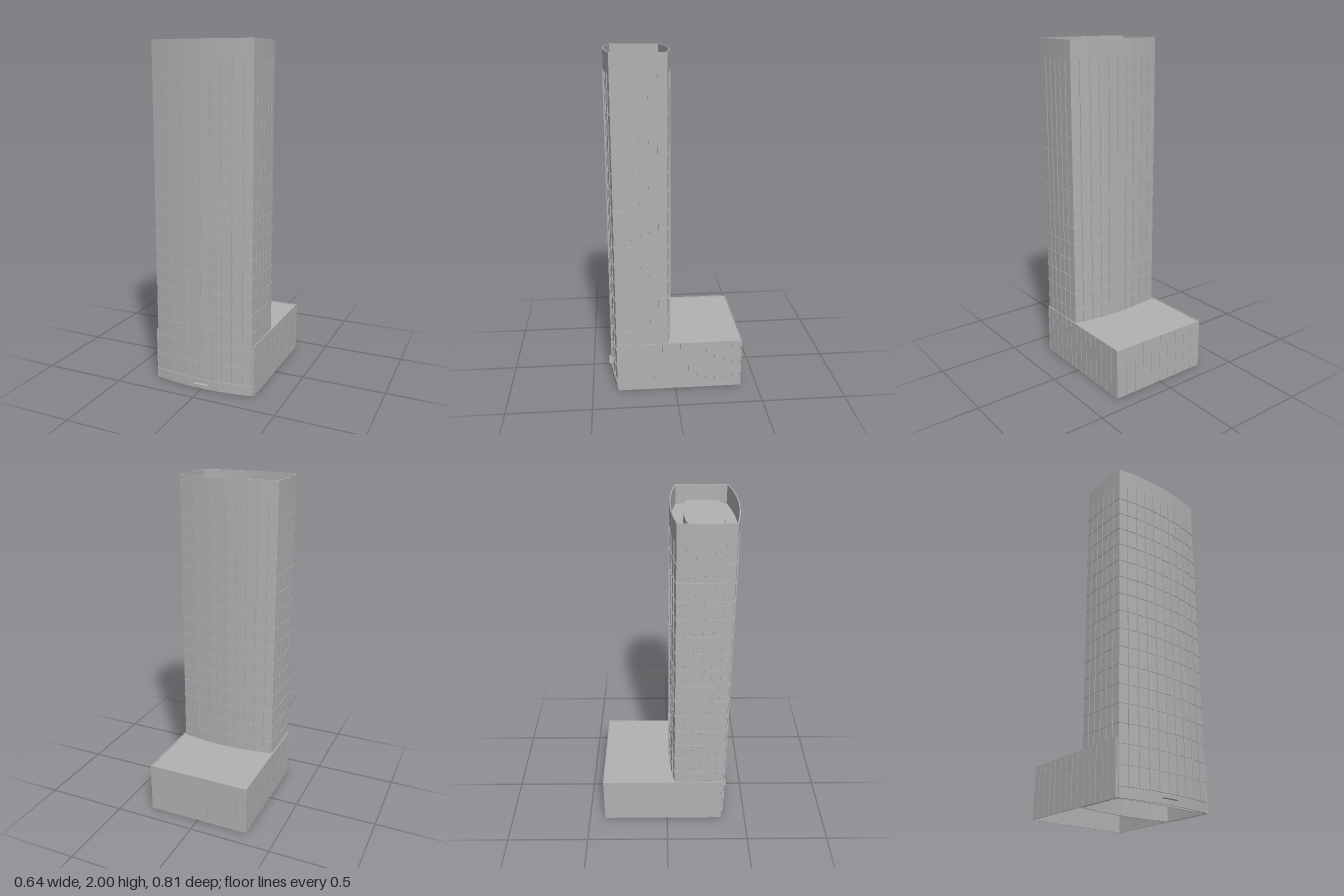
import * as THREE from 'three';

const grey = new THREE.MeshStandardMaterial({ color: 0xb2b2b2, side: THREE.DoubleSide });
grey.name = 'concrete grey';

const CENTRE_Z = 0.198;

// Barrel-shaped plan: bowed front and back, slightly bowed sides
function outline(halfW, halfD, bowZ, bowX) {
  const pts = [];
  const front = 6, side = 4;
  for (let i = 0; i < front; i++) {
    const t = -1 + (2 * i) / front;
    pts.push(new THREE.Vector2(t * halfW, -(CENTRE_Z + halfD + bowZ * (1 - t * t))));
  }
  for (let i = 0; i < side; i++) {
    const t = -1 + (2 * i) / side;
    pts.push(new THREE.Vector2(halfW + bowX * (1 - t * t), -(CENTRE_Z - t * halfD)));
  }
  return pts.concat(pts.map(p => new THREE.Vector2(-p.x, -2 * CENTRE_Z - p.y)));
}

// Tower plan grown or shrunk by an offset
const towerPlan = o => outline(0.304 + o, 0.153 + o, 0.033, 0.004);

// Upright prism from a plan, optionally hollow
function prism(plan, y0, y1, hole) {
  const shape = new THREE.Shape(plan);
  if (hole) shape.holes.push(new THREE.Path(hole));
  const g = new THREE.ExtrudeGeometry(shape, { depth: y1 - y0, bevelEnabled: false });
  return g.rotateX(-Math.PI / 2).translate(0, y0, 0);
}

function add(parent, name, geometry) {
  const m = new THREE.Mesh(geometry, grey);
  m.name = name;
  parent.add(m);
  return m;
}

function box(parent, name, w, h, d, x, y, z) {
  return add(parent, name, new THREE.BoxGeometry(w, h, d).translate(x, y, z));
}

export function createModel() {
  const model = new THREE.Group();
  model.name = 'officeTower';

  // Tower shell, open below, with a parapet above the roof
  const tower = new THREE.Group();
  tower.name = 'tower';
  model.add(tower);
  add(tower, 'towerWalls', prism(towerPlan(0), 0, 2, towerPlan(-0.006)));
  add(tower, 'towerRoof', prism(towerPlan(-0.003), 1.88, 1.89));
  add(tower, 'penthouse', prism(outline(0.182, 0.092, 0.019, 0.004), 1.89, 1.95));

  // Ledge above the ground floor and a thin band at each storey
  const storeys = 17, y0 = 0.06, y1 = 1.89;
  add(tower, 'groundLedge', prism(towerPlan(0.005), 0.056, 0.062, towerPlan(-0.001)));
  for (let i = 1; i < storeys; i++) {
    const y = y0 + ((y1 - y0) * i) / storeys;
    add(tower, 'storeyBand', prism(towerPlan(0.003), y - 0.002, y + 0.002, towerPlan(-0.001)));
  }

  // Vertical mullions on the bowed front and back
  const h = y1 - y0, my = (y0 + y1) / 2;
  for (let i = -4; i <= 4; i++) {
    const x = i * 0.0625;
    const bulge = 0.153 + 0.033 * (1 - (x / 0.304) ** 2);
    for (const s of [1, -1]) box(tower, 'mullion', 0.004, h, 0.007, x, my, CENTRE_Z + s * bulge);
  }
  // Vertical mullions on the sides
  for (let i = -2; i <= 2; i++) {
    const t = i / 3;
    const x = 0.304 + 0.004 * (1 - t * t);
    for (const s of [1, -1]) box(tower, 'sideMullion', 0.007, h, 0.004, s * x, my, CENTRE_Z + t * 0.153);
  }

  // Small fixtures inside the parapet and the entrance canopy
  for (const s of [1, -1]) box(tower, 'parapetFixture', 0.01, 0.015, 0.01, s * 0.296, 1.985, 0.195);
  box(tower, 'entranceCanopy', 0.096, 0.005, 0.022, 0, 0.03, 0.391);

  // Hollow podium behind and around the base
  const podium = new THREE.Group();
  podium.name = 'podium';
  model.add(podium);
  const rect = (w, zBack, zFront) => [[-w, zFront], [w, zFront], [w, zBack], [-w, zBack]]
    .map(([x, z]) => new THREE.Vector2(x, -z));
  add(podium, 'podiumWalls', prism(rect(0.317, -0.402, 0.345), 0, 0.305, rect(0.313, -0.398, 0.341)));
  add(podium, 'podiumRoof', prism(rect(0.315, -0.4, 0.343), 0.295, 0.301, towerPlan(-0.003)));

  // Podium wall ribs
  for (let i = 0; i <= 14; i++) {
    const z = -0.398 + i * 0.0525;
    for (const s of [1, -1]) box(podium, 'podiumSideRib', 0.005, 0.305, 0.004, s * 0.317, 0.1525, z);
  }
  for (let i = -4; i <= 4; i++) box(podium, 'podiumBackRib', 0.004, 0.305, 0.005, i * 0.0625, 0.1525, -0.402);

  return model;
}
